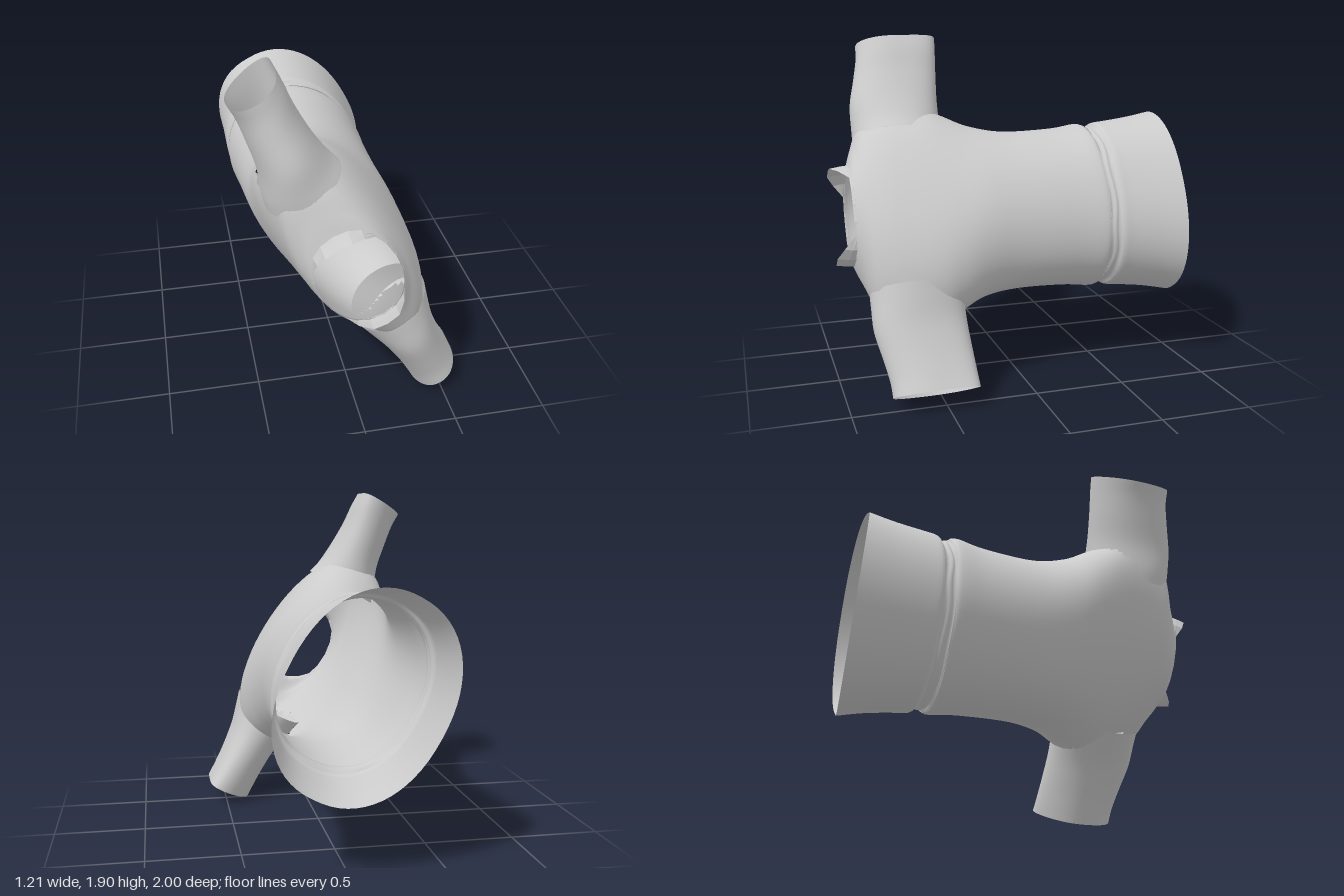
import * as THREE from 'three';

// Shirt axes: the body runs along z, the sleeves along a slanted line in the xy plane
const CENTRE = new THREE.Vector3(0, 0.94, 0);
const Z = new THREE.Vector3(0, 0, 1);
const W = new THREE.Vector3(-0.48, 0.88, 0).normalize(); // towards the upper sleeve
const N = new THREE.Vector3(W.y, -W.x, 0);               // across the shirt's thickness
const { smoothstep } = THREE.MathUtils;

const material = new THREE.MeshStandardMaterial({ color: 0xcccccc, side: THREE.DoubleSide });
const flatMaterial = material.clone();
flatMaterial.flatShading = true;

// Open tube through rows of [position, offsetX, offsetY, halfX, halfY], then placed on axes X, Y, A
function loft(name, rows, [X, Y, A], { sides = 64, steps = 4, power = 2.2, warp, hole, mat = material } = {}) {
  const mid = new THREE.CatmullRomCurve3(rows.map(r => new THREE.Vector3(r[1], r[2], r[0])), false, 'catmullrom', 0.5);
  const size = new THREE.CatmullRomCurve3(rows.map(r => new THREE.Vector3(r[3], r[4], 0)), false, 'catmullrom', 0.5);
  const count = (rows.length - 1) * steps;
  const points = [], index = [];
  const bend = c => Math.sign(c) * Math.abs(c) ** (2 / power);
  for (let j = 0; j <= count; j++) {
    const c = mid.getPoint(j / count), s = size.getPoint(j / count);
    for (let i = 0; i < sides; i++) {
      const t = i / sides * Math.PI * 2;
      const p = new THREE.Vector3(c.x + s.x * bend(Math.cos(t)), c.y + s.y * bend(Math.sin(t)), c.z);
      if (warp) warp(p, j / count, t);
      points.push(p);
    }
  }
  for (let j = 0; j < count; j++) {
    for (let i = 0; i < sides; i++) {
      const a = j * sides + i, b = j * sides + (i + 1) % sides;
      const quad = [a, b, b + sides, a + sides];
      if (hole && quad.every(k => hole(points[k]))) continue;
      index.push(a, b, b + sides, a, b + sides, a + sides);
    }
  }
  const g = new THREE.BufferGeometry().setFromPoints(points);
  g.setIndex(index);
  g.applyMatrix4(new THREE.Matrix4().makeBasis(X, Y, A).setPosition(CENTRE));
  g.computeVertexNormals();
  const mesh = new THREE.Mesh(g, mat);
  mesh.name = name;
  return mesh;
}

export function createModel() {
  const group = new THREE.Group();
  group.name = 'shirt';
  const bodyAxes = [N, W, Z];
  const sleeveOffset = side => -0.022 - 0.022 * side;

  // Body from the waist seam to the neck opening, with shallow folds and open armholes
  group.add(loft('body', [
    [-0.5, -0.1, 0, 0.39, 0.475],
    [-0.46, -0.1, 0, 0.395, 0.485],
    [-0.3, -0.097, -0.005, 0.383, 0.465],
    [0, -0.085, -0.01, 0.37, 0.46],
    [0.2, -0.065, -0.005, 0.355, 0.5],
    [0.34, -0.05, 0, 0.335, 0.57],
    [0.46, -0.038, 0, 0.315, 0.625],
    [0.6, -0.028, 0, 0.292, 0.625],
    [0.72, -0.022, 0, 0.27, 0.60],
    [0.81, -0.025, 0, 0.248, 0.53],
    [0.87, -0.03, 0, 0.226, 0.38],
    [0.905, -0.03, 0, 0.21, 0.275],
  ], bodyAxes, {
    power: 2.1, steps: 6,
    warp: (p, u, t) => {
      const fold = 1 + 0.01 * Math.sin(Math.PI * u) * Math.sin(5 * t + 6 * u);
      const pinch = smoothstep(p.z, 0.5, 0.82) * (1 - smoothstep(p.z, 0.85, 0.9));
      p.x *= fold * (1 - (Math.sin(t) < 0 ? 0.28 : 0.14) * pinch * Math.sin(t) ** 2);
      p.x -= 0.06 * p.y * smoothstep(p.z, 0, 0.35) * (1 - smoothstep(p.z, 0.8, 0.9));
      p.y *= fold;
    },
    hole: p => Math.abs(p.y) > 0.43
      && ((p.z - 0.595) / 0.245) ** 2 + ((p.x - sleeveOffset(Math.sign(p.y))) / 0.205) ** 2 < 1,
  }));

  // Gathered waist seam
  group.add(loft('waistSeam', [
    [-0.57, -0.1, 0, 0.388, 0.478],
    [-0.55, -0.1, 0, 0.375, 0.455],
    [-0.53, -0.1, 0, 0.385, 0.465],
    [-0.51, -0.1, 0, 0.375, 0.45],
    [-0.495, -0.1, 0, 0.39, 0.475],
  ], bodyAxes, {
    steps: 2,
    warp: (p, u, t) => { p.z += 0.006 * Math.sin(9 * t) * Math.sin(Math.PI * u); },
  }));

  // Flared hem, its open rim reaching further back on one side
  group.add(loft('hem', [
    [-0.945, -0.077, -0.008, 0.408, 0.545],
    [-0.8, -0.088, -0.003, 0.397, 0.515],
    [-0.65, -0.098, 0, 0.392, 0.495],
    [-0.59, -0.1, 0, 0.392, 0.488],
    [-0.57, -0.1, 0, 0.388, 0.478],
  ], bodyAxes, {
    warp: (p, u, t) => { p.z -= 0.055 * Math.max(0, -Math.cos(t)) * Math.max(0, 1 - 2 * u); },
  }));

  // Two sleeves on opposite sides, both creased along the back edge
  for (const side of [1, -1]) {
    const off = sleeveOffset(side) * side;
    group.add(loft(side > 0 ? 'rightSleeve' : 'leftSleeve', [
      [0.44, 0.595, off, 0.25, 0.215],
      [0.52, 0.595, off, 0.25, 0.192],
      [0.65, 0.595, off * 0.6, 0.248, 0.158],
      [0.8, 0.575, off * 0.3, 0.235, 0.142],
      [0.92, 0.56, 0, 0.226, 0.138],
      [1.005, 0.555, 0, 0.225, 0.138],
    ], [Z, N.clone().multiplyScalar(side), W.clone().multiplyScalar(side)], {
      sides: 40, power: 2.1,
      warp: (p, u, t) => { p.y += side * 0.07 * u * Math.min(0, Math.cos(t)) ** 2; },
    }));
  }

  // Ragged collar that stands up in a flap at each shoulder
  group.add(loft('collar', [
    [0.895, -0.03, 0, 0.218, 0.28],
    [0.93, -0.03, 0, 0.21, 0.265],
  ], bodyAxes, {
    sides: 20, steps: 2, mat: flatMaterial,
    warp: (p, u, t) => {
      const lift = smoothstep(Math.abs(Math.sin(t)), 0.65, 0.93);
      p.z += u * (0.07 * lift - 0.02 * (1 - lift));
    },
  }));

  return group;
}
